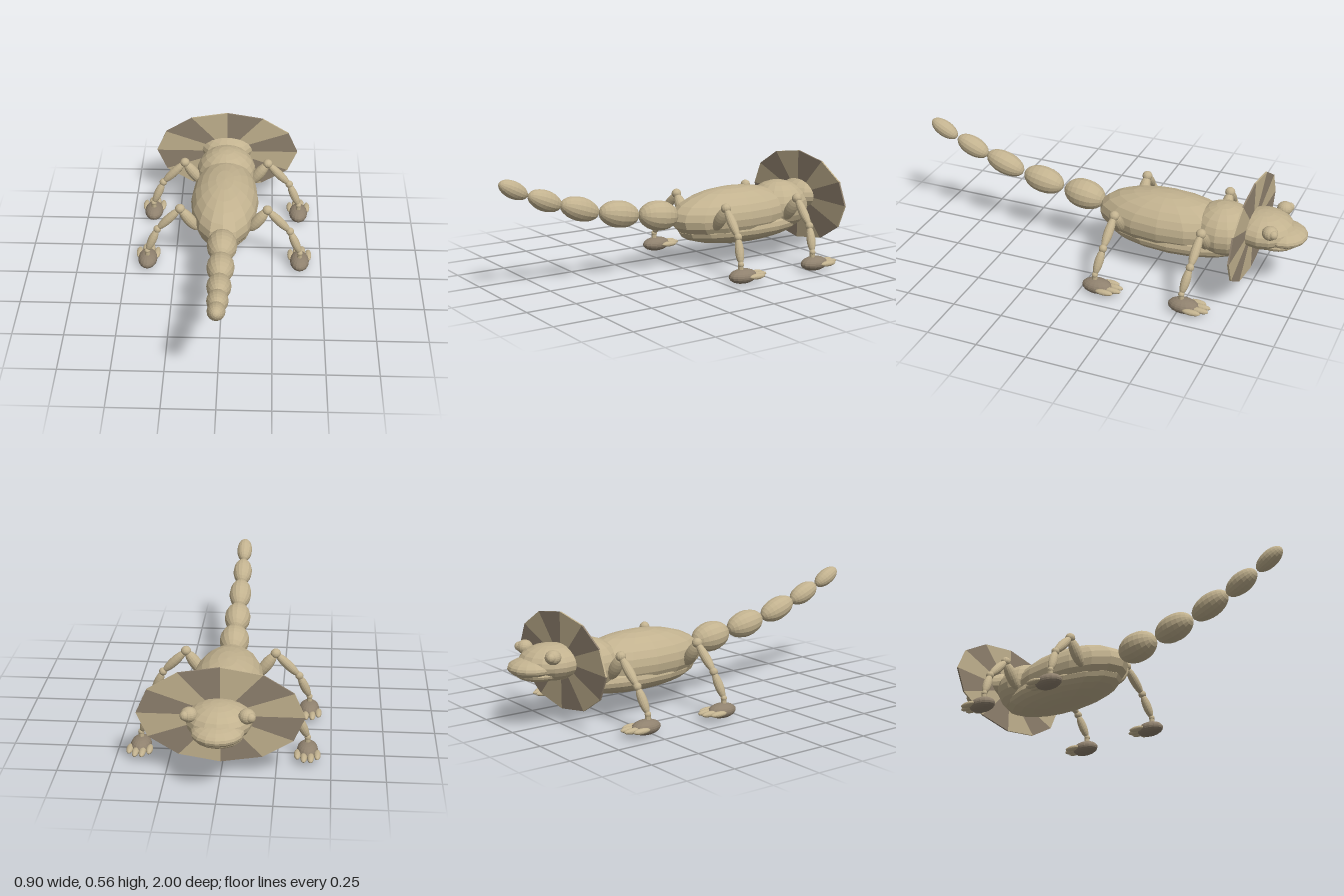
import * as THREE from 'three';

export function createModel() {
  const model = new THREE.Group();
  model.name = 'frilledLizard';

  const sand = new THREE.MeshStandardMaterial({ color: 0xc2b28f, flatShading: true });
  sand.name = 'sand';
  const brown = new THREE.MeshStandardMaterial({ color: 0x8f816e, flatShading: true });
  brown.name = 'brown';

  const V = (x, y, z) => new THREE.Vector3(x, y, z);
  const ball = new THREE.SphereGeometry(1, 16, 12);

  // Ellipsoid with its poles up and down
  function ellipsoid(name, pos, radii, material = sand, parent = model) {
    const mesh = new THREE.Mesh(ball, material);
    mesh.name = name;
    mesh.position.set(...pos);
    mesh.scale.set(...radii);
    parent.add(mesh);
    return mesh;
  }

  // Slender ellipsoid stretched between two points
  function limb(name, a, b, radius, parent = model) {
    const mesh = new THREE.Mesh(ball, sand);
    mesh.name = name;
    mesh.position.copy(a).lerp(b, 0.5);
    mesh.scale.set(radius, a.distanceTo(b) / 2, radius);
    mesh.quaternion.setFromUnitVectors(V(0, 1, 0), b.clone().sub(a).normalize());
    parent.add(mesh);
  }

  // Trunk
  ellipsoid('body', [0, 0.25, -0.3], [0.175, 0.14, 0.36]);
  ellipsoid('belly', [0, 0.185, -0.35], [0.165, 0.085, 0.37]);
  ellipsoid('shoulders', [0, 0.26, -0.59], [0.157, 0.13, 0.16]);

  // Head with a blunt snout and lower jaw
  ellipsoid('head', [0, 0.305, -0.79], [0.15, 0.085, 0.15]);
  ellipsoid('snout', [0, 0.293, -0.885], [0.118, 0.046, 0.115]);
  ellipsoid('lowerJaw', [0, 0.265, -0.85], [0.115, 0.04, 0.115]);
  for (const s of [1, -1]) {
    ellipsoid('eye', [s * 0.127, 0.357, -0.85], [0.038, 0.034, 0.038]);
    ellipsoid('eyeBulge', [s * 0.144, 0.36, -0.87], [0.022, 0.022, 0.022]);
  }

  // Neck frill: twelve thin wedges in alternating colours
  const frill = new THREE.Group();
  frill.name = 'frill';
  frill.position.set(0, 0.3, -0.734);
  model.add(frill);
  for (let i = 0; i < 12; i++) {
    const rim = k => new THREE.Vector2(0.38 * Math.cos(k * Math.PI / 6), 0.232 * Math.sin(k * Math.PI / 6));
    const wedge = new THREE.Shape([new THREE.Vector2(0, 0), rim(i), rim(i + 1)]);
    const mesh = new THREE.Mesh(
      new THREE.ExtrudeGeometry(wedge, { depth: 0.008, bevelEnabled: false }),
      i % 2 ? sand : brown);
    mesh.name = 'frillWedge';
    frill.add(mesh);
  }

  // Tail beads: z, y, half length, radius, upward tilt in degrees
  const tail = [
    [0.145, 0.29, 0.108, 0.075, 8],
    [0.37, 0.325, 0.108, 0.067, 11],
    [0.585, 0.376, 0.105, 0.058, 19],
    [0.768, 0.437, 0.09, 0.05, 23],
    [0.928, 0.506, 0.078, 0.041, 28],
  ];
  for (const [z, y, half, r, deg] of tail) {
    const t = THREE.MathUtils.degToRad(deg);
    const d = V(0, Math.sin(t) * half, Math.cos(t) * half);
    const c = V(0, y, z);
    limb('tailSegment', c.clone().sub(d), c.clone().add(d), r);
  }

  // Legs, front and back pairs
  function addLeg(name, s, z) {
    const leg = new THREE.Group();
    leg.name = name;
    leg.position.z = z;
    model.add(leg);
    const hip = V(s * 0.13, 0.21, 0);
    const knee = V(s * 0.22, 0.335, 0);
    const shin = V(s * 0.337, 0.215, 0.01);
    const ankle = V(s * 0.39, 0.094, 0.03);
    limb('thigh', hip, knee, 0.03, leg);
    limb('upperShin', knee, shin, 0.023, leg);
    limb('lowerShin', shin, ankle, 0.022, leg);
    ellipsoid('kneeJoint', knee.toArray(), [0.025, 0.024, 0.025], sand, leg);
    ellipsoid('shinJoint', shin.toArray(), [0.02, 0.02, 0.02], sand, leg);
    ellipsoid('ankleJoint', ankle.toArray(), [0.015, 0.015, 0.015], sand, leg);
    const post = new THREE.Mesh(new THREE.CylinderGeometry(0.013, 0.013, 0.04, 10), sand);
    post.name = 'anklePost';
    post.position.set(s * 0.39, 0.075, 0.03);
    leg.add(post);
    // Foot and four toes
    ellipsoid('foot', [s * 0.39, 0.036, 0.018], [0.049, 0.036, 0.076], brown, leg);
    for (const [dx, dz] of [[-0.046, -0.035], [-0.016, -0.065], [0.016, -0.065], [0.046, -0.035]]) {
      ellipsoid('toe', [s * 0.39 + dx, 0.036, dz], [0.016, 0.014, 0.045], sand, leg);
    }
  }
  for (const s of [1, -1]) {
    const side = s > 0 ? 'Left' : 'Right';
    addLeg('front' + side + 'Leg', s, -0.545);
    addLeg('back' + side + 'Leg', s, -0.105);
  }

  return model;
}
